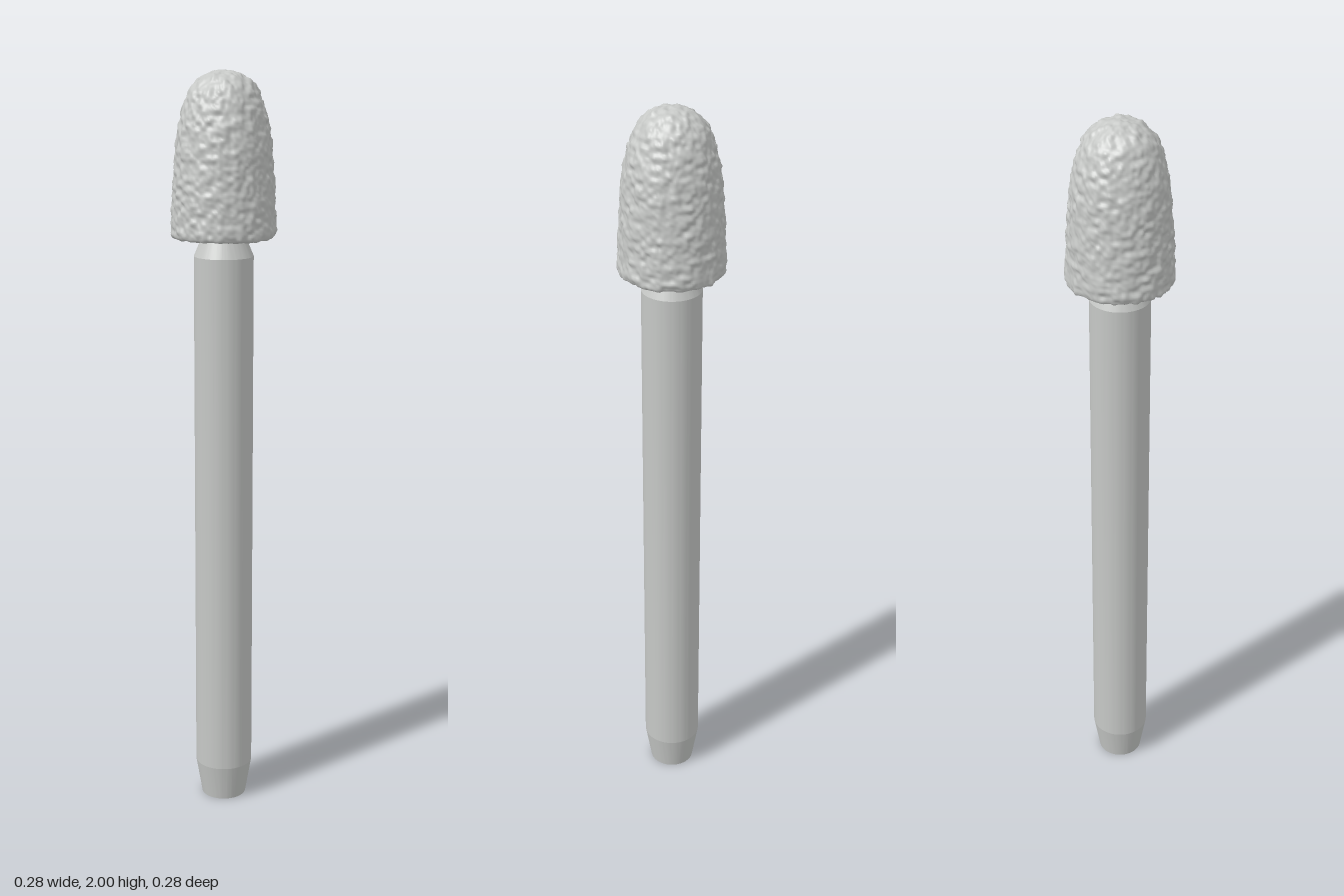
import * as THREE from 'three';
import { mergeVertices, toCreasedNormals } from 'three/addons/utils/BufferGeometryUtils.js';

const v2 = ([x, y]) => new THREE.Vector2(x, y);

// Repeatable value in 0..1 for each lattice point
function hash(x, y, z) {
  let h = Math.imul(x, 374761393) ^ Math.imul(y, 668265263) ^ Math.imul(z, 1274126177);
  h = Math.imul(h ^ (h >>> 13), 1103515245);
  h = Math.imul(h ^ (h >>> 15), 2246822519);
  return ((h ^ (h >>> 16)) >>> 0) / 4294967295;
}

// Smooth 3D value noise in -1..1
function noise(x, y, z) {
  const i = [x, y, z].map(Math.floor);
  const [u, v, w] = [x - i[0], y - i[1], z - i[2]].map((t) => t * t * (3 - 2 * t));
  let sum = 0;
  for (let a = 0; a < 2; a++)
    for (let b = 0; b < 2; b++)
      for (let c = 0; c < 2; c++)
        sum += hash(i[0] + a, i[1] + b, i[2] + c) * (a ? u : 1 - u) * (b ? v : 1 - v) * (c ? w : 1 - w);
  return sum * 2 - 1;
}

// Lathe the head, then push its surface in and out by the noise
function roughHead() {
  const outline = new THREE.SplineCurve([
    [0.05, 1.582], [0.09, 1.58], [0.125, 1.579], [0.135, 1.588], [0.135, 1.62], [0.13, 1.72],
    [0.122, 1.82], [0.11, 1.89], [0.088, 1.95], [0.055, 1.985], [0.025, 1.996], [0, 1.998],
  ].map(v2));
  const points = outline.getSpacedPoints(130);
  points[130].x = 0;
  let geometry = new THREE.LatheGeometry(points, 192);
  geometry.deleteAttribute('uv');
  geometry.deleteAttribute('normal');
  geometry = mergeVertices(geometry);
  geometry.computeVertexNormals();
  const pos = geometry.attributes.position;
  const normal = geometry.attributes.normal;
  const p = new THREE.Vector3();
  const n = new THREE.Vector3();
  for (let i = 0; i < pos.count; i++) {
    p.fromBufferAttribute(pos, i);
    n.fromBufferAttribute(normal, i);
    const bump = noise(p.x * 75, p.y * 75, p.z * 75) + 0.3 * noise(p.x * 130, p.y * 130, p.z * 130);
    p.addScaledVector(n, bump * 0.0042);
    pos.setXYZ(i, p.x, Math.min(p.y, 2), p.z);
  }
  geometry.computeVertexNormals();
  return geometry;
}

export function createModel() {
  const group = new THREE.Group();
  const steel = new THREE.MeshStandardMaterial({ color: 0xc6c8c6 });
  steel.name = 'light grey';

  const add = (name, geometry) => {
    const mesh = new THREE.Mesh(geometry, steel);
    mesh.name = name;
    group.add(mesh);
  };

  // Straight shank with a tapered foot and a bevelled neck
  const shank = new THREE.LatheGeometry([
    [0, 0], [0.061, 0], [0.078, 0.1], [0.078, 1.53], [0.059, 1.575], [0.059, 1.6], [0, 1.6],
  ].map(v2), 64);
  add('shank', toCreasedNormals(shank, 0.15));

  // Pebbled, bullet-shaped head
  add('abrasiveHead', roughHead());
  return group;
}
